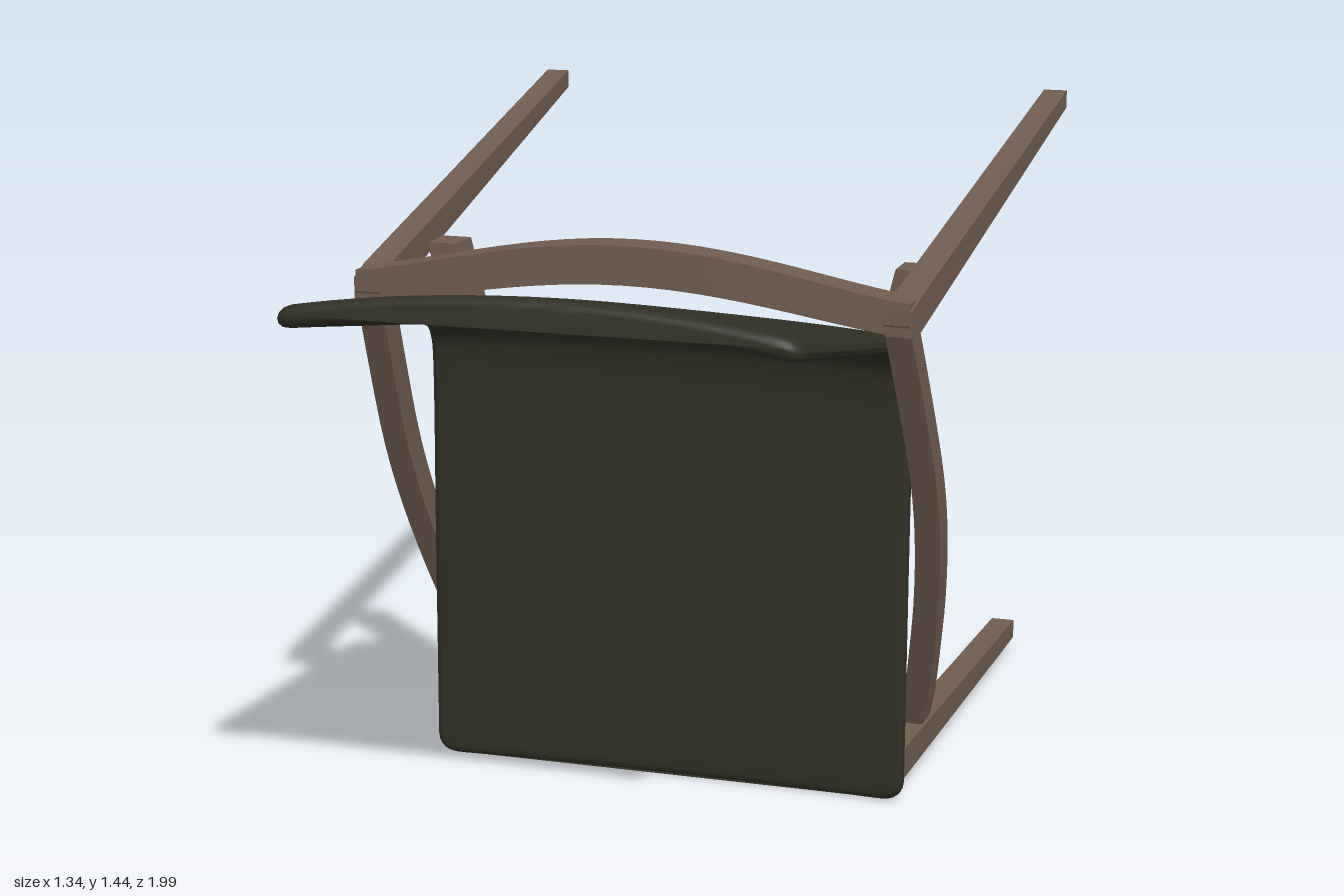
import * as THREE from 'three';
import { toCreasedNormals } from 'three/addons/utils/BufferGeometryUtils.js';

const wood = new THREE.MeshStandardMaterial({ color: 0x705c4f });
wood.name = 'walnut wood';
const shellColor = new THREE.MeshStandardMaterial({ color: 0x2f2f24 });
shellColor.name = 'dark olive';
const black = new THREE.MeshStandardMaterial({ color: 0x161614 });
black.name = 'black glide';

// Skins a list of closed rings and caps both ends.
function loft(rings) {
  const n = rings[0].length, index = [];
  for (let i = 0; i < rings.length - 1; i++) {
    for (let j = 0; j < n; j++) {
      const a = i * n + j, b = i * n + (j + 1) % n;
      index.push(a, b, b + n, a, b + n, a + n);
    }
  }
  const last = (rings.length - 1) * n;
  for (let j = 1; j < n - 1; j++) {
    index.push(0, j + 1, j, last, last + j, last + j + 1);
  }
  const geo = new THREE.BufferGeometry();
  geo.setAttribute('position', new THREE.Float32BufferAttribute(rings.flat(2), 3));
  geo.setIndex(index);
  geo.computeVertexNormals();
  return geo;
}

// Rectangular bar through points that increase along one axis (0 x, 1 y, 2 z).
// Each point is [x, y, z, size along next axis, size along the axis after].
function beam(points, axis) {
  const u = (axis + 1) % 3, v = (axis + 2) % 3;
  const rings = points.map((p) => [[1, -1], [1, 1], [-1, 1], [-1, -1]].map(([a, b]) => {
    const q = p.slice(0, 3);
    q[u] += a * p[3] / 2;
    q[v] += b * p[4] / 2;
    return q;
  }));
  return loft(rings);
}

function add(group, name, geo, material) {
  const mesh = new THREE.Mesh(geo, material);
  mesh.name = name;
  group.add(mesh);
  return mesh;
}

const crease = (geo) => toCreasedNormals(geo, 0.5);

// One-piece seat and backrest: thin rounded sections along a bent profile.
function shellGeometry() {
  const curve = new THREE.CatmullRomCurve3([
    [0, 0.131], [0.5, 0.124], [0.92, 0.117], [0.98, 0.123], [1.02, 0.148],
    [1.045, 0.2], [1.068, 0.3], [1.135, 0.65], [1.2, 0.995],
  ].map(([y, z]) => new THREE.Vector3(0, y, z)), false, 'centripetal');
  curve.arcLengthDivisions = 600;
  const L = curve.getLength(), ends = [0, 0.002, 0.006, 0.012, 0.02, 0.032, 0.046];
  const stops = [...ends];
  for (let i = 1; i < 60; i++) stops.push(0.046 + (L - 0.092) * i / 60);
  stops.push(...ends.map((e) => L - e).reverse());

  const corner = 0.046, edge = 0.03, end = 0.022, sides = 56;
  const round = (d, r) => (d >= r ? 1 : Math.sqrt(Math.max(0, 1 - (1 - d / r) ** 2)));
  const rings = stops.map((s) => {
    const t = s / L, p = curve.getPointAt(t), tan = curve.getTangentAt(t);
    const e = Math.min(s, L - s);
    const w = 0.553 - 0.013 * THREE.MathUtils.smoothstep(t, 0.55, 1) - corner * (1 - round(e, corner));
    const h = 0.023 * round(e, end);
    const bow = 0.02 + 0.032 * THREE.MathUtils.smoothstep(t, 0.45, 1);
    return Array.from({ length: sides }, (_, k) => {
      const a = k / sides * Math.PI * 2, x = w * Math.cos(a);
      const side = Math.abs(Math.sin(a)) < 1e-6 ? 0 : Math.sign(Math.sin(a));
      const d = bow * (1 - (x / 0.553) ** 2) + side * h * round(w - Math.abs(x), edge);
      return [x, p.y + tan.z * d, p.z - tan.y * d];
    });
  });
  return crease(loft(rings));
}

// Under-seat rail section; the joint between its halves is cut at a slant.
const railX = (y) => 0.265 + (y - 0.09) * 0.248;
function railGeometry(y0, y1) {
  const geo = beam([y0, y1].map((y) => [railX(y), y, 0.045, 0.088, 0.07]), 1);
  const pos = geo.attributes.position;
  for (let i = 0; i < pos.count; i++) {
    if (Math.abs(pos.getY(i) - 0.87) > 0.01) continue;
    const dy = (pos.getZ(i) - 0.045) * 1.1;
    pos.setXYZ(i, pos.getX(i) + dy * 0.248, pos.getY(i) + dy, pos.getZ(i));
  }
  return crease(geo);
}

// Frame members of one side.
function sideFrame() {
  const g = new THREE.Group();
  add(g, 'rearLeg', crease(beam([
    [0.643, 1.42, -0.99, 0.056, 0.042],
    [0.588, 1.151, 0.34, 0.06, 0.075],
    [0.586, 1.142, 0.41, 0.055, 0.055],
  ], 2)), wood);
  add(g, 'frontLeg', crease(beam([
    [0.55, 0.056, -0.99, 0.056, 0.046],
    [0.512, 0.07, 0.095, 0.06, 0.07],
  ], 2)), wood);

  // Bowed brace from the front leg up to the back rail
  const bow = new THREE.CatmullRomCurve3([
    [0.505, 0.07], [0.53, 0.16], [0.557, 0.3], [0.582, 0.45],
    [0.6, 0.62], [0.604, 0.76], [0.595, 0.95], [0.582, 1.14],
  ].map(([x, y]) => new THREE.Vector3(x, y, -0.135 + (y - 0.1) * 0.49)));
  add(g, 'sideBrace', crease(beam(
    bow.getPoints(24).map((p) => [p.x, p.y, p.z, 0.076, 0.056]), 1)), wood);

  add(g, 'lowerSeatRail', railGeometry(0.07, 0.87), shellColor);
  add(g, 'upperSeatRail', railGeometry(0.87, 1.19), wood);

  // Foot glides
  for (const [x, y] of [[0.643, 1.42], [0.55, 0.056]]) {
    const glide = add(g, 'footGlide', new THREE.CylinderGeometry(0.014, 0.014, 0.02, 12), black);
    glide.rotation.x = Math.PI / 2;
    glide.position.set(x, y, -0.99);
  }
  return g;
}

// Mirrored copy across x = 0 with corrected face order.
function mirrored(source) {
  const copy = source.clone();
  for (const mesh of copy.children) {
    mesh.position.x *= -1;
    if (mesh.name === 'footGlide') continue;
    const geo = mesh.geometry.clone().scale(-1, 1, 1);
    for (const key of ['position', 'normal']) {
      const a = geo.attributes[key];
      for (let i = 0; i < a.count; i += 3) {
        const b = [a.getX(i + 1), a.getY(i + 1), a.getZ(i + 1)];
        a.setXYZ(i + 1, a.getX(i + 2), a.getY(i + 2), a.getZ(i + 2));
        a.setXYZ(i + 2, ...b);
      }
    }
    geo.computeVertexNormals();
    mesh.geometry = crease(geo);
  }
  return copy;
}

export function createModel() {
  const model = new THREE.Group();
  model.name = 'chair';
  add(model, 'seatShell', shellGeometry(), shellColor);

  const left = sideFrame();
  left.name = 'leftFrame';
  const right = mirrored(left);
  right.name = 'rightFrame';
  model.add(left, right);

  // Arched rail behind the backrest
  const arch = [];
  for (let i = 0; i <= 24; i++) {
    const x = -0.61 + 1.22 * i / 24;
    const rise = Math.cos(x / 0.61 * Math.PI / 2) ** 1.3 || 0;
    arch.push([x, 1.149 + 0.083 * rise, 0.368 + 0.017 * rise, 0.072 + 0.012 * rise, 0.082]);
  }
  add(model, 'backRail', crease(beam(arch, 0)), wood);

  // Cross rail between the front legs
  add(model, 'frontRail', crease(beam([
    [-0.52, 0.07, 0.05, 0.068, 0.085], [0.52, 0.07, 0.05, 0.068, 0.085],
  ], 0)), wood);
  return model;
}
